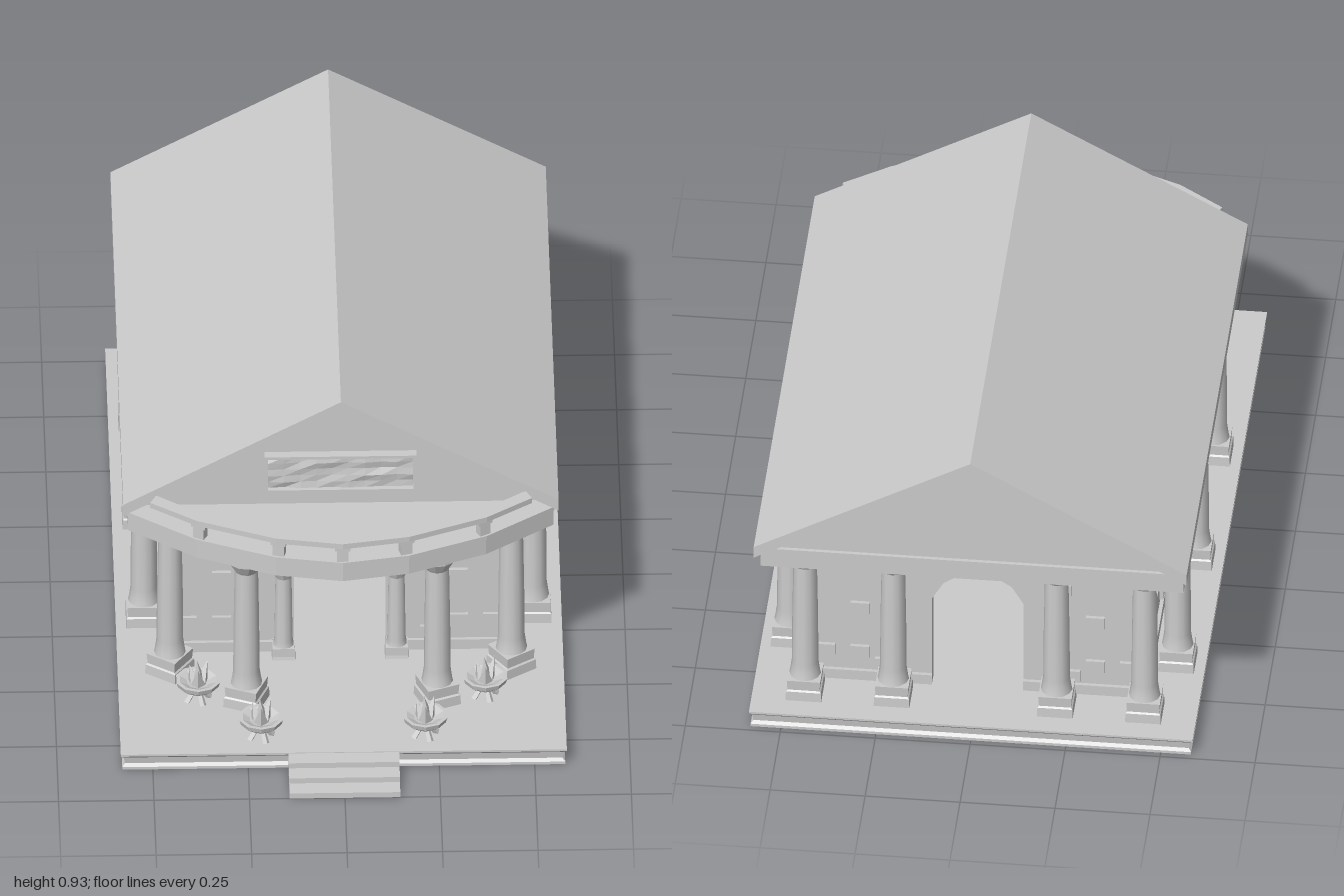
import * as THREE from 'three';

const flat = new THREE.MeshStandardMaterial({ color: 0xcccccc, flatShading: true, side: THREE.DoubleSide });
const smooth = new THREE.MeshStandardMaterial({ color: 0xcccccc, side: THREE.DoubleSide });

function add(parent, name, geo, x = 0, y = 0, z = 0, material = flat) {
  const m = new THREE.Mesh(geo, material);
  m.name = name;
  m.position.set(x, y, z);
  parent.add(m);
  return m;
}

// Box given by its limits
function box(parent, name, x0, x1, y0, y1, z0, z1) {
  return add(parent, name, new THREE.BoxGeometry(x1 - x0, y1 - y0, z1 - z0),
    (x0 + x1) / 2, (y0 + y1) / 2, (z0 + z1) / 2);
}

const lathe = (pts, sides) => new THREE.LatheGeometry(pts.map(p => new THREE.Vector2(...p)), sides);

// Rectangular block, open below, whose sides follow a moulding profile of [outset, y]
function moulding(w, d, profile) {
  const pts = profile.map(([o, y]) => [1 + o, y]);
  pts.push([0, profile[profile.length - 1][1]]);
  const g = lathe(pts, 4).rotateY(Math.PI / 4);
  const p = g.attributes.position;
  for (let i = 0; i < p.count; i++) {
    const r = Math.hypot(p.getX(i), p.getZ(i));
    if (r < 0.1) continue;
    p.setX(i, Math.sign(p.getX(i)) * (w / 2 + r - 1));
    p.setZ(i, Math.sign(p.getZ(i)) * (d / 2 + r - 1));
  }
  return g;
}

const shapeOf = pts => new THREE.Shape(pts.map(p => new THREE.Vector2(...p)));
const extrude = (pts, depth) => new THREE.ExtrudeGeometry(shapeOf(pts), { depth, bevelEnabled: false });
// Slab from a plan of [x, z] points, rising from y = 0
const slab = (plan, h) => extrude(plan.map(([x, z]) => [x, -z]), h).rotateX(-Math.PI / 2);
const mirrored = half => [...half.map(([x, y]) => [-x, y]).reverse(), ...half.filter(p => p[0] !== 0)];

function column(parent, x, z, turn) {
  const g = new THREE.Group();
  g.name = 'column';
  g.position.set(x, 0, z);
  g.rotation.y = turn;
  add(g, 'plinth', moulding(0.084, 0.084, [[0.005, 0.05], [0.004, 0.078], [0, 0.082], [0.002, 0.112]]));
  add(g, 'shaft', lathe([[0.042, 0.11], [0.039, 0.125], [0.035, 0.155], [0.034, 0.3], [0.031, 0.475]], 12), 0, 0, 0, smooth);
  add(g, 'capital', lathe([[0.031, 0.472], [0.036, 0.48], [0.051, 0.506], [0.051, 0.514]], 12));
  parent.add(g);
}

function brazier(parent, x, z) {
  const g = new THREE.Group();
  g.name = 'brazier';
  g.position.set(x, 0.05, z);
  add(g, 'bowl', lathe([[0, 0.028], [0.03, 0.032], [0.056, 0.052], [0.06, 0.066], [0.05, 0.066], [0.03, 0.056], [0, 0.052]], 10));
  for (let i = 0; i < 4; i++) {
    const a = i * Math.PI / 2 + 0.4;
    const leg = new THREE.CylinderGeometry(0.006, 0.009, 0.045, 4).rotateZ(0.6).rotateY(a);
    add(g, 'leg', leg, 0.02 * Math.cos(a), 0.019, -0.02 * Math.sin(a));
  }
  for (let i = 0; i < 4; i++) {
    const a = i * 2.1 + 0.5, r = i ? 0.018 : 0, h = i ? 0.05 + 0.008 * i : 0.08;
    const flame = new THREE.ConeGeometry(0.022, h, 4).rotateZ(i ? -0.3 : 0.1).rotateY(a);
    add(g, 'flame', flame, r * Math.cos(a), 0.046 + h / 2, -r * Math.sin(a));
  }
  parent.add(g);
}

export function createModel() {
  const root = new THREE.Group();
  root.name = 'temple';

  // Platform, hollow underneath, and entrance steps
  add(root, 'platform', moulding(1.154, 1.836,
    [[0.003, 0], [0.003, 0.008], [-0.004, 0.016], [-0.001, 0.036], [0.007, 0.044], [0.007, 0.05]]), 0, 0, -0.062);
  for (let i = 0; i < 3; i++) box(root, 'step', -0.145, 0.145, 0.016 * i, 0.016 * (i + 1), 0.86, 1 - 0.046 * i);

  // Walls with an arched doorway at each end
  const arch = [[0, 0.42], [0.03, 0.42], [0.09, 0.38], [0.12, 0.328]];
  const wall = [[-0.44, 0.05], [-0.12, 0.05], ...mirrored(arch), [0.12, 0.05], [0.44, 0.05], [0.44, 0.515], [-0.44, 0.515]];
  for (const z of [0.36, -0.81]) add(root, 'endWall', extrude(wall, 0.03), 0, 0, z);
  for (const s of [-1, 1]) {
    box(root, 'sideWall', s * 0.425 - 0.015, s * 0.425 + 0.015, 0.05, 0.515, -0.79, 0.37);
    box(root, 'wallFooting', s * 0.437 - 0.013, s * 0.437 + 0.013, 0.05, 0.08, -0.82, 0.4);
    for (const z of [0.39, -0.81])
      box(root, 'wallFooting', s * 0.285 - 0.165, s * 0.285 + 0.165, 0.05, 0.08, z - 0.01, z + 0.01);
  }

  // Door surround: arch ring on two small columns
  const outer = [[0, 0.48], [0.053, 0.48], [0.147, 0.41], [0.178, 0.328]];
  add(root, 'doorArch', extrude([...mirrored(outer), ...mirrored(arch).reverse()], 0.05), 0, 0, 0.385);
  for (const s of [-1, 1]) {
    add(root, 'doorColumn', lathe([[0.029, 0.08], [0.025, 0.1], [0.022, 0.305]], 10), s * 0.148, 0, 0.412, smooth);
    add(root, 'doorCapital', lathe([[0.022, 0.3], [0.031, 0.322], [0.031, 0.33]], 10), s * 0.148, 0, 0.412);
    add(root, 'doorColumnBase', moulding(0.058, 0.058, [[0.002, 0.05], [0, 0.06], [0, 0.085]]), s * 0.148, 0, 0.412);
  }

  // Windows and raised stones on the side walls: [z, y, length]
  const sideStones = [[0.1, 0.385, 0.07], [0.015, 0.22, 0.07], [-0.475, 0.432, 0.07],
    [-0.37, 0.145, 0.07], [-0.335, 0.108, 0.07], [-0.41, 0.108, 0.07], [-0.61, 0.2, 0.07],
    [-0.68, 0.2, 0.06], [0.32, 0.108, 0.075], [0.285, 0.145, 0.07]];
  for (const s of [-1, 1]) {
    const sx = (name, a, b, ...r) => box(root, name, Math.min(s * a, s * b), Math.max(s * a, s * b), ...r);
    for (const [z, y, l] of sideStones) sx('wallStone', 0.43, 0.45, y - 0.018, y + 0.018, z - l / 2, z + l / 2);
    for (const z of [0.017, -0.432]) {
      sx('windowPanel', 0.43, 0.446, 0.27, 0.385, z - 0.03, z + 0.03);
      for (const e of [-1, 1]) {
        sx('windowJamb', 0.43, 0.458, 0.26, 0.395, z + e * 0.034 - 0.006, z + e * 0.034 + 0.006);
        sx('windowRail', 0.43, 0.458, 0.327 + e * 0.062 - 0.006, 0.327 + e * 0.062 + 0.006, z - 0.04, z + 0.04);
      }
    }
    // Raised stones on the end walls: [x, y, length]
    for (const [x, y, l] of [[0.225, 0.385, 0.045], [0.31, 0.285, 0.05], [0.31, 0.142, 0.05], [0.405, 0.142, 0.06], [0.24, 0.105, 0.06]])
      for (const z of [0.39, -0.81])
        box(root, 'wallStone', s * x - l / 2, s * x + l / 2, y - 0.018, y + 0.018, z - 0.01, z + 0.01);
  }

  // Colonnade: the front four turn to follow the bow
  for (const s of [-1, 1]) {
    for (const [x, z, turn] of [[0.25, 0.625, 0.39], [0.447, 0.48, 0.6], [0.51, 0.24, 0], [0.51, -0.21, 0],
      [0.51, -0.655, 0], [0.447, -0.88, 0], [0.215, -0.88, 0]]) column(root, s * x, z, s * turn);
    brazier(root, s * 0.215, 0.79);
    brazier(root, s * 0.376, 0.615);
  }

  // Entablature with a bowed front
  const bow = [[0, 0.745], [0.175, 0.715], [0.38, 0.63], [0.56, 0.5]];
  const plan = o => [[-0.56 + o, -0.96 + o], ...mirrored(bow.map(([x, z]) => [x * (1 - o / 0.56), z - o])), [0.56 - o, -0.96 + o]];
  add(root, 'entablature', slab(plan(0.003), 0.048), 0, 0.512, 0);
  add(root, 'cornice', slab(plan(0), 0.012), 0, 0.56, 0);

  // Low balustrade above the bowed front
  const rail = [...bow.slice(0, 3), [0.5, 0.545]];
  const railPlan = (a, b) => [...mirrored(rail.map(([x, z]) => [x * (1 - a), z - a])),
    ...mirrored(rail.map(([x, z]) => [x * (1 - b), z - b])).reverse()];
  add(root, 'balustradeRail', slab(railPlan(0, 0.033), 0.016), 0, 0.616, 0);
  for (const [x, z, a] of [[0, 0.727, 0], [0.165, 0.698, 0.28], [0.37, 0.615, 0.5], [-0.165, 0.698, -0.28], [-0.37, 0.615, -0.5]]) {
    add(root, 'balustradeBlock', new THREE.BoxGeometry(0.03, 0.046, 0.024), x, 0.592, z).rotation.y = a;
    add(root, 'balustradeCap', new THREE.BoxGeometry(0.04, 0.01, 0.028), x, 0.611, z).rotation.y = a;
  }

  // Gable roof and recessed pediments
  add(root, 'roof', extrude([[-0.57, 0.57], [-0.57, 0.605], [0, 0.925], [0.57, 0.605], [0.57, 0.57], [0, 0.89]], 1.515), 0, 0, -1);
  add(root, 'pediment', extrude([[-0.57, 0.57], [0.57, 0.57], [0, 0.89]], 1.42), 0, 0, -0.95);

  // Carved relief panel in its frame
  const relief = new THREE.PlaneGeometry(0.38, 0.1, 9, 5);
  const p = relief.attributes.position;
  for (let i = 0; i < p.count; i++) {
    const n = Math.sin(i * 12.9898) * 43758.5453;
    p.setZ(i, (n - Math.floor(n)) * 0.009);
  }
  add(root, 'reliefPanel', relief, 0, 0.68, 0.478);
  for (const s of [-1, 1]) {
    box(root, 'reliefFrameSide', s * 0.195 - 0.004, s * 0.195 + 0.004, 0.622, 0.737, 0.465, 0.495);
    box(root, 'reliefFrameRail', -0.199, 0.199, 0.68 + s * 0.053 - 0.004, 0.68 + s * 0.053 + 0.004, 0.465, 0.495);
  }
  return root;
}
